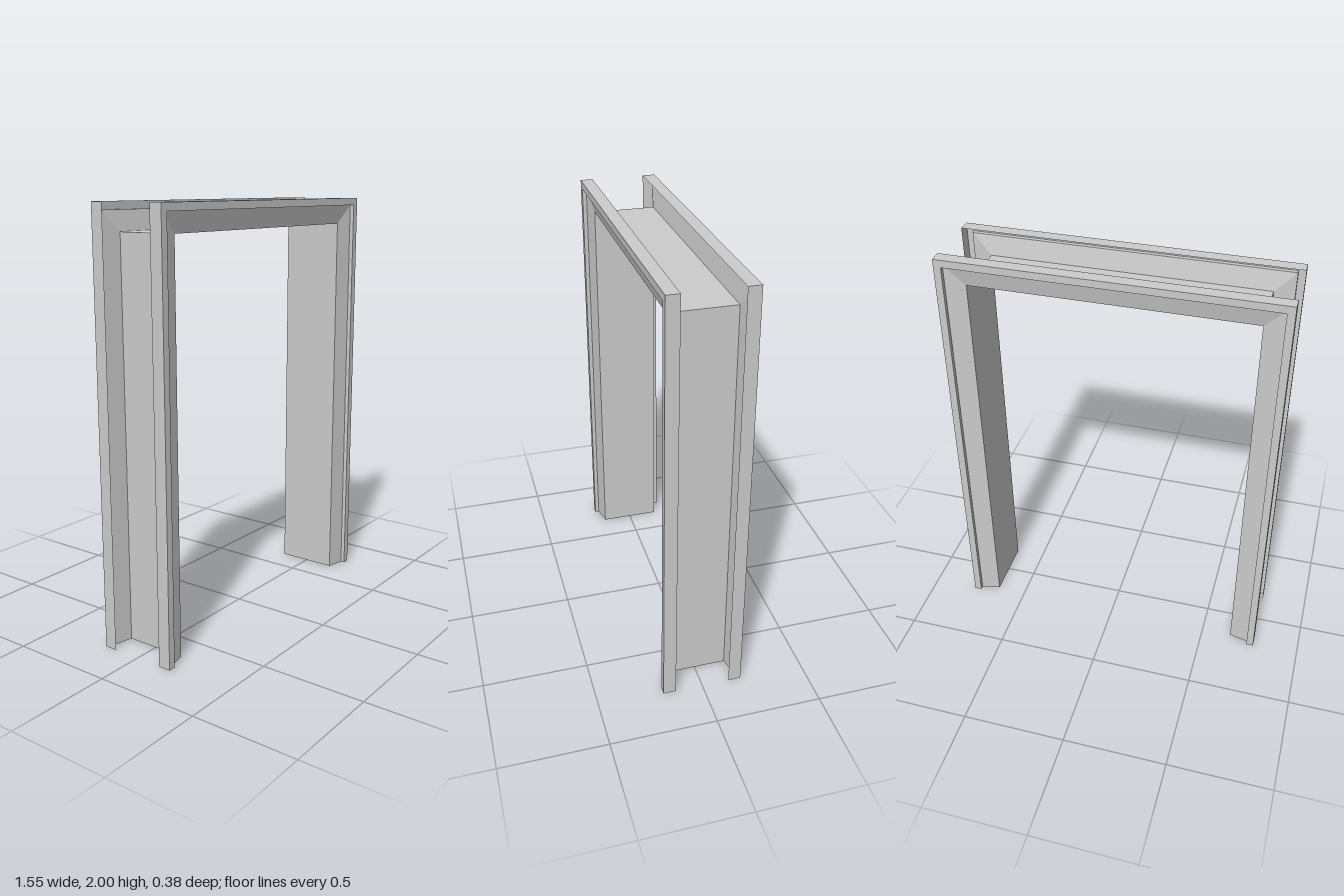
import * as THREE from 'three';

const HALF_OPENING = 0.648, OPENING_HEIGHT = 1.875;

// Mitred sheet swept up one leg, across the head and down the other leg.
// Profile points are [distance outward from the opening, z].
function sweepFrame(profile) {
  const stations = [
    d => [HALF_OPENING + d, 0],
    d => [HALF_OPENING + d, OPENING_HEIGHT + d],
    d => [-HALF_OPENING - d, OPENING_HEIGHT + d],
    d => [-HALF_OPENING - d, 0],
  ];
  const positions = [];
  for (let s = 0; s < stations.length - 1; s++) {
    for (let i = 0; i < profile.length - 1; i++) {
      const corner = (station, [d, z]) => [...stations[station](d), z];
      const a = corner(s, profile[i]), b = corner(s, profile[i + 1]);
      const c = corner(s + 1, profile[i + 1]), d = corner(s + 1, profile[i]);
      positions.push(...a, ...d, ...c, ...a, ...c, ...b);
    }
  }
  const geometry = new THREE.BufferGeometry();
  geometry.setAttribute('position', new THREE.Float32BufferAttribute(positions, 3));
  geometry.computeVertexNormals();
  return geometry;
}

export function createModel() {
  const group = new THREE.Group();
  group.name = 'doorFrame';
  const material = new THREE.MeshStandardMaterial({
    color: 0xcccccc, flatShading: true, side: THREE.DoubleSide,
  });
  const add = (name, profile) => {
    const mesh = new THREE.Mesh(sweepFrame(profile), material);
    mesh.name = name;
    group.add(mesh);
  };

  // Casing: outer flange, raised rim, step, then a face sloping to the opening
  const casing = [[0.127, 0.13], [0.127, 0.19], [0.092, 0.19], [0.092, 0.17], [0, 0.15]];
  add('frontCasing', casing);
  add('backCasing', casing.map(([d, z]) => [d, -z]).reverse());

  // Thin lining joining both casings around the opening
  add('jambLining', [[0, 0.15], [0, -0.15]]);

  return group;
}
